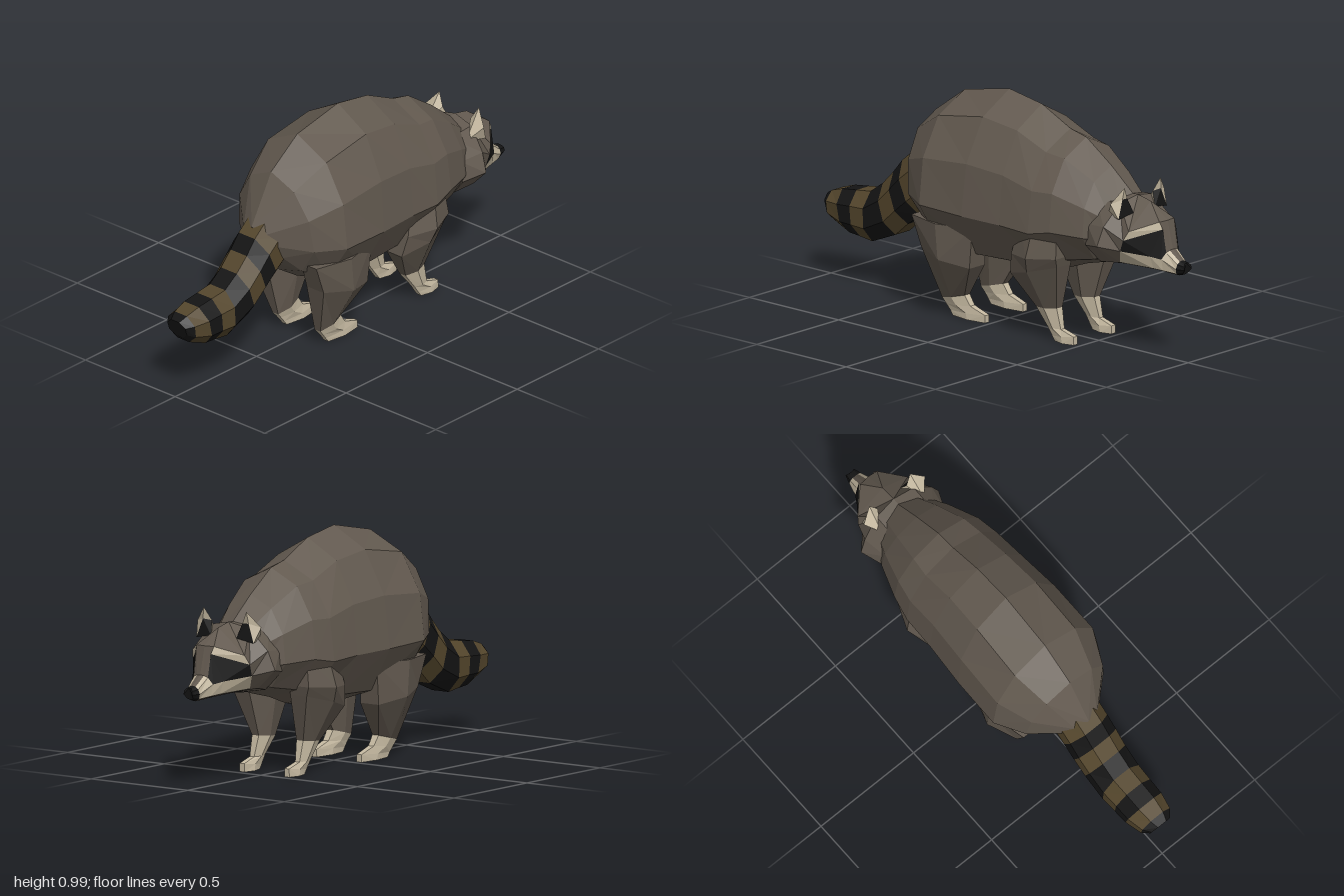
import * as THREE from 'three';

const COLORS = {
  f: 0x62594f, // fur
  k: 0x141414, // black
  t: 0x54462c, // tail brown
  l: 0xc4b8a0, // pale
};
const materials = {};
for (const key in COLORS) {
  materials[key] = new THREE.MeshStandardMaterial({ color: COLORS[key], flatShading: true, side: THREE.DoubleSide });
}

// Group of one mesh per colour from { colourKey: [points of triangles] }
function meshes(name, buckets) {
  const group = new THREE.Group();
  group.name = name;
  for (const key in buckets) {
    const geo = new THREE.BufferGeometry();
    geo.setAttribute('position', new THREE.Float32BufferAttribute(buckets[key].flat(), 3));
    geo.computeVertexNormals();
    const mesh = new THREE.Mesh(geo, materials[key]);
    mesh.name = name;
    group.add(mesh);
  }
  return group;
}

// Skin over closed rings, each counter-clockwise about the direction of travel
function loft(name, rings, colorAt, startColor, endColor) {
  const buckets = {};
  const tri = (key, ...pts) => (buckets[key] ??= []).push(...pts);
  const n = rings[0].length;
  for (let i = 0; i < rings.length - 1; i++) {
    for (let j = 0; j < n; j++) {
      const k = (j + 1) % n;
      const a = rings[i][j], b = rings[i][k], c = rings[i + 1][k], d = rings[i + 1][j];
      const key = colorAt(i, j);
      if (j < n / 2) tri(key, a, b, c, a, c, d);
      else tri(key, a, b, d, b, c, d);
    }
  }
  const first = rings[0], last = rings[rings.length - 1];
  for (let j = 1; j < n - 1; j++) {
    tri(startColor, first[0], first[j + 1], first[j]);
    tri(endColor, last[0], last[j], last[j + 1]);
  }
  return meshes(name, buckets);
}

// Complete a half ring (top to bottom on +z) with its mirror image
const flip = ([x, y, z]) => [x, y, -z];
const whole = (half) => [...half, ...half.filter((p) => p[2] > 0).reverse().map(flip)];

// Cross-section hung between a top point and a bottom point, with half width w
const section = (profile) => ([xt, yt, xb, yb, w]) =>
  whole(profile.map(([s, t]) => [xb + (xt - xb) * t, yb + (yt - yb) * t, w * s]));

function body() {
  const profile = [[0, 1], [0.58, 0.88], [0.92, 0.63], [1, 0.33], [0.62, 0.08], [0, 0]];
  const stations = [
    [-0.53, 0.61, -0.41, 0.40, 0.10],
    [-0.41, 0.82, -0.36, 0.35, 0.21],
    [-0.25, 0.935, -0.25, 0.28, 0.28],
    [0, 0.985, -0.03, 0.245, 0.275],
    [0.18, 0.955, 0.18, 0.255, 0.26],
    [0.34, 0.88, 0.33, 0.28, 0.255],
    [0.43, 0.86, 0.44, 0.32, 0.235],
    [0.57, 0.765, 0.58, 0.355, 0.185],
    [0.70, 0.66, 0.66, 0.40, 0.13],
  ];
  return loft('body', stations.map(section(profile)), () => 'f', 'f', 'f');
}

function tail() {
  const profile = [[0.45, 1], [1, 0.7], [1, 0.3], [0.45, 0]];
  const stations = [
    [-1, 0.35, -0.975, 0.27, 0.05],
    [-0.965, 0.37, -0.95, 0.245, 0.075],
    [-0.9, 0.39, -0.86, 0.21, 0.09],
    [-0.82, 0.4, -0.8, 0.205, 0.092],
    [-0.74, 0.41, -0.73, 0.197, 0.095],
    [-0.67, 0.46, -0.6, 0.25, 0.097],
    [-0.61, 0.52, -0.53, 0.31, 0.1],
    [-0.56, 0.58, -0.46, 0.36, 0.1],
    [-0.5, 0.63, -0.38, 0.42, 0.1],
  ];
  return loft('tail', stations.map(section(profile)), (i) => (i % 2 ? 't' : 'k'), 'k', 't');
}

function head() {
  // Half rings from neck to nose: crown, inner brow, outer brow, cheek, jaw, chin
  const rings = [
    [[0.58, 0.66, 0], [0.58, 0.64, 0.1], [0.58, 0.55, 0.16], [0.58, 0.46, 0.17], [0.6, 0.38, 0.1], [0.6, 0.36, 0]],
    [[0.72, 0.67, 0], [0.71, 0.65, 0.1], [0.69, 0.56, 0.18], [0.68, 0.48, 0.21], [0.69, 0.4, 0.13], [0.7, 0.37, 0]],
    [[0.79, 0.655, 0], [0.79, 0.55, 0.135], [0.77, 0.51, 0.148], [0.75, 0.46, 0.143], [0.72, 0.4, 0.11], [0.75, 0.37, 0]],
    [[0.885, 0.59, 0], [0.88, 0.59, 0.045], [0.895, 0.56, 0.04], [0.86, 0.445, 0.08], [0.86, 0.39, 0.06], [0.86, 0.368, 0]],
    [[0.915, 0.472, 0], [0.913, 0.47, 0.018], [0.91, 0.463, 0.036], [0.9, 0.435, 0.055], [0.9, 0.385, 0.045], [0.9, 0.366, 0]],
    [[0.965, 0.433, 0], [0.965, 0.43, 0.014], [0.965, 0.42, 0.028], [0.962, 0.4, 0.034], [0.957, 0.378, 0.025], [0.95, 0.366, 0]],
    [[0.99, 0.427, 0], [0.992, 0.425, 0.012], [0.997, 0.415, 0.021], [1, 0.4, 0.022], [0.985, 0.382, 0.016], [0.98, 0.375, 0]],
  ];
  // Colour of each strip, crown to chin, between successive rings
  const paint = ['fffff', 'fffff', 'flklf', 'ffklf', 'flllf', 'kkkkk'];
  return loft('head', rings.map(whole), (i, j) => paint[i][Math.min(j, 9 - j)], 'f', 'k');
}

function ear(side) {
  const tip = [0.745, 0.725, 0.11], outer = [0.715, 0.66, 0.165], lowOuter = [0.745, 0.595, 0.148];
  const inner = [0.73, 0.67, 0.078], lowInner = [0.755, 0.61, 0.065], back = [0.66, 0.6, 0.115];
  const mid = [0.74, 0.675, 0.118];
  const buckets = {
    l: [tip, mid, outer, outer, mid, lowOuter, tip, inner, mid, // rim
      tip, outer, back, outer, lowOuter, back, tip, back, inner, inner, back, lowInner],
    k: [mid, lowInner, lowOuter, mid, inner, lowInner],
  };
  if (side < 0) {
    for (const key in buckets) buckets[key] = buckets[key].map(flip).reverse();
  }
  return meshes(side > 0 ? 'rightEar' : 'leftEar', buckets);
}

// Leg rings from the sole up: back x, back y, front x, front y, inner z, outer z
function leg(name, stations, side) {
  const outline = [[1, 0.5], [0.75, 1], [0.25, 1], [0, 0.5], [0.25, 0], [0.75, 0]];
  const rings = stations.map(([xb, yb, xf, yf, zi, zo]) => {
    const ring = outline.map(([s, t]) => [xb + (xf - xb) * t, yb + (yf - yb) * t, zi + (zo - zi) * s]);
    return side > 0 ? ring : ring.map(flip).reverse();
  });
  return loft(name, rings, (i) => (i < 3 ? 'l' : 'f'), 'k', 'f');
}

const FRONT_LEG = [
  [0.37, 0, 0.475, 0, 0.09, 0.142],
  [0.355, 0.02, 0.475, 0.035, 0.092, 0.14],
  [0.33, 0.055, 0.405, 0.055, 0.095, 0.14],
  [0.27, 0.13, 0.385, 0.142, 0.08, 0.15],
  [0.18, 0.27, 0.44, 0.34, 0.065, 0.235],
  [0.2, 0.36, 0.45, 0.38, 0.06, 0.26],
  [0.24, 0.5, 0.44, 0.5, 0.08, 0.23],
];
const HIND_LEG = [
  [-0.2, 0, -0.02, 0, 0.09, 0.142],
  [-0.215, 0.02, -0.02, 0.032, 0.092, 0.14],
  [-0.235, 0.045, -0.1, 0.058, 0.09, 0.145],
  [-0.255, 0.068, -0.13, 0.1, 0.085, 0.15],
  [-0.31, 0.29, -0.04, 0.245, 0.06, 0.25],
  [-0.36, 0.42, -0.02, 0.42, 0.08, 0.25],
];

export function createModel() {
  const model = new THREE.Group();
  model.name = 'raccoon';
  model.add(body(), tail(), head());
  for (const side of [1, -1]) {
    const hand = side > 0 ? 'right' : 'left';
    model.add(ear(side), leg(hand + 'FrontLeg', FRONT_LEG, side), leg(hand + 'HindLeg', HIND_LEG, side));
  }
  return model;
}
